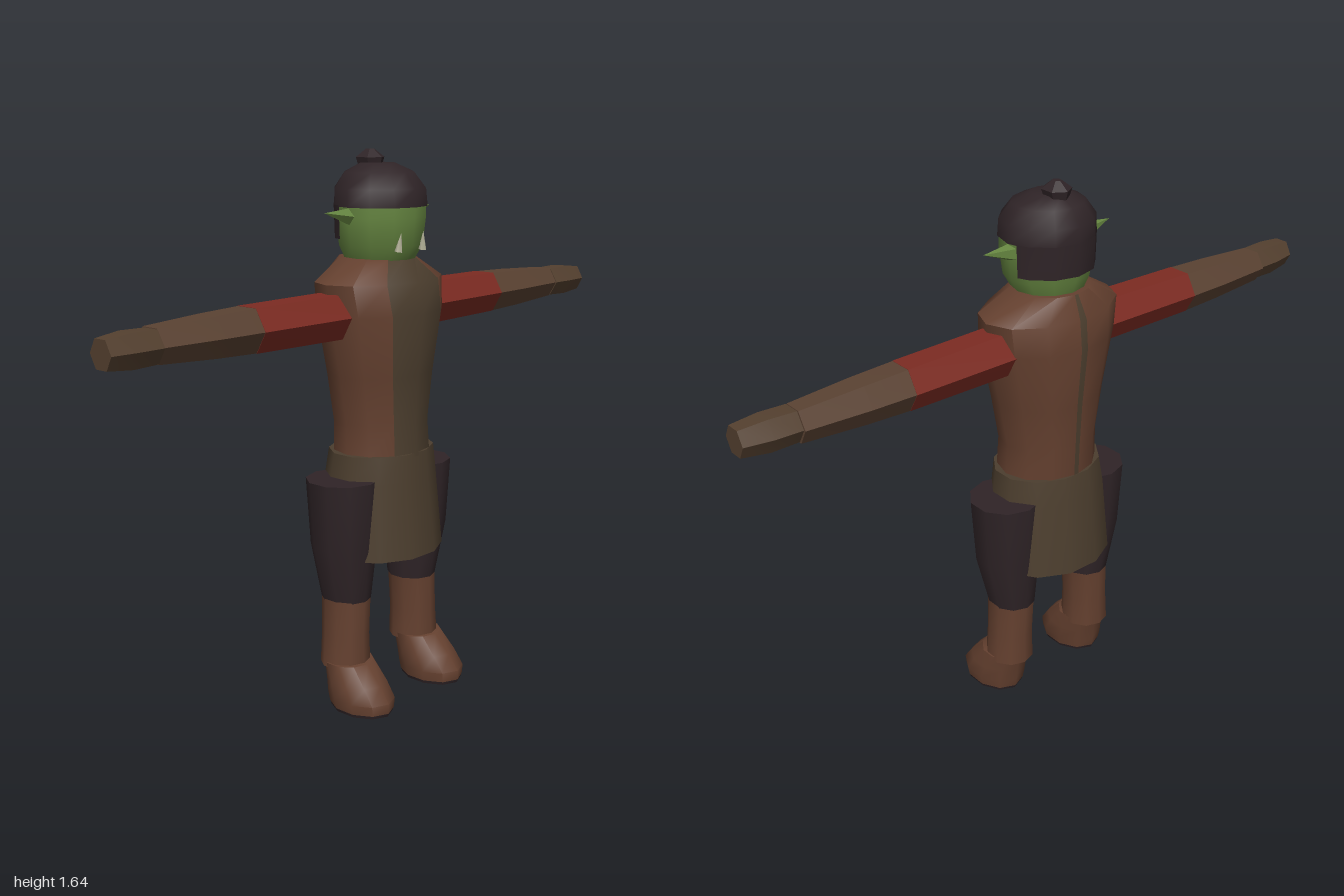
import * as THREE from 'three';
import { toCreasedNormals } from 'three/addons/utils/BufferGeometryUtils.js';

const mat = (name, color) => {
  const m = new THREE.MeshStandardMaterial({ color, side: THREE.DoubleSide });
  m.name = name;
  return m;
};

// Evenly spaced angles in degrees; 0 faces +z, 90 faces +x
const around = (n, offset = 0) => Array.from({ length: n }, (_, i) => offset + (i * 360) / n);

// Skin over elliptical rings [y, centreX, centreZ, radiusX, radiusZ], listed upward
function loft(rings, angles, { open = false, bottom = true, top = true, crease = 0.9, pick = () => 0 } = {}) {
  const pos = [], n = angles.length, lists = [[], []];
  for (const [y, cx, cz, rx, rz] of rings) {
    for (const d of angles) {
      const a = THREE.MathUtils.degToRad(d);
      pos.push(cx + rx * Math.sin(a), y, cz + rz * Math.cos(a));
    }
  }
  for (let j = 0; j < (open ? n - 1 : n); j++) {
    const k = (j + 1) % n, list = lists[pick(j)];
    for (let i = 0; i < rings.length - 1; i++) {
      const a = i * n, b = a + n;
      list.push(a + j, a + k, b + k, a + j, b + k, b + j);
    }
  }
  const cap = (ring, base, up) => {
    const c = pos.length / 3;
    pos.push(ring[1], ring[0], ring[2]);
    for (let j = 0; j < n; j++) {
      const k = (j + 1) % n;
      lists[0].push(c, base + (up ? j : k), base + (up ? k : j));
    }
  };
  if (!open && bottom) cap(rings[0], 0, false);
  if (!open && top) cap(rings.at(-1), (rings.length - 1) * n, true);
  const g = new THREE.BufferGeometry();
  g.setAttribute('position', new THREE.Float32BufferAttribute(pos, 3));
  g.setIndex([...lists[0], ...lists[1]]);
  if (lists[1].length) {
    g.addGroup(0, lists[0].length, 0);
    g.addGroup(lists[0].length, lists[1].length, 1);
  }
  return toCreasedNormals(g, crease);
}

export function createModel() {
  const root = new THREE.Group();
  root.name = 'figure';
  const leather = mat('leather brown', 0x64402f);
  const apron = mat('apron olive', 0x4c3e2e);
  const dark = mat('dark cloth', 0x2f2427);
  const green = mat('green skin', 0x658540);
  const red = mat('red sleeve', 0x7c2b22);
  const wrap = mat('forearm wrap', 0x5a4232);
  const glove = mat('glove', 0x54402f);
  const ivory = mat('ivory', 0xb5b39a);

  const add = (name, geometry, material, parent = root) => {
    const m = new THREE.Mesh(geometry, material);
    m.name = name;
    parent.add(m);
    return m;
  };

  // Torso with a wide front panel and a narrow seam down the back
  const torsoAngles = [0, 30, 60, 90, 120, 150, 177, 183, 210, 240, 270, 300, 330];
  add('torso', loft([
    [0.76, 0, 0.005, 0.155, 0.138],
    [0.86, 0, 0, 0.15, 0.137],
    [1.0, 0, 0, 0.175, 0.145],
    [1.18, 0, 0, 0.212, 0.163],
    [1.27, 0, -0.005, 0.223, 0.15],
    [1.335, 0, -0.015, 0.115, 0.11],
  ], torsoAngles, { pick: j => (j === 0 || j === 12 || j === 6 ? 1 : 0) }), [leather, apron]);

  // Flaring apron skirt, open below
  add('skirt', loft([
    [0.46, 0, 0, 0.2, 0.176],
    [0.69, 0, 0, 0.185, 0.15],
    [0.77, 0, 0.003, 0.172, 0.142],
  ], around(12, 15), { bottom: false }), apron);

  // Head, cap of hair and topknot
  add('head', loft([
    [1.32, 0, -0.005, 0.1, 0.098],
    [1.37, 0, 0, 0.127, 0.122],
    [1.45, 0, 0, 0.138, 0.13],
    [1.5, 0, 0, 0.136, 0.13],
  ], around(12)), green);
  add('hair', loft([
    [1.48, 0, 0, 0.14, 0.136],
    [1.53, 0, -0.002, 0.138, 0.132],
    [1.575, 0, -0.005, 0.105, 0.1],
    [1.6, 0, -0.01, 0.05, 0.05],
  ], around(12)), dark);
  add('backHair', loft([
    [1.39, 0, 0, 0.139, 0.134],
    [1.485, 0, 0, 0.142, 0.137],
  ], [105, 120, 150, 180, 210, 240, 255], { open: true }), dark);
  add('topknot', loft([
    [1.58, 0, -0.04, 0.03, 0.035],
    [1.615, 0, -0.04, 0.042, 0.045],
    [1.638, 0, -0.04, 0.012, 0.014],
  ], around(6), { crease: 0.3 }), dark);

  for (const s of [1, -1]) {
    const side = s > 0 ? 'left' : 'right';

    // Pointed ear and tusk
    const ear = add(side + 'Ear', new THREE.ConeGeometry(0.03, 0.115, 5).toNonIndexed(), green);
    ear.geometry.computeVertexNormals();
    ear.position.set(s * 0.17, 1.461, -0.005);
    ear.rotation.z = -s * 1.42;
    const tusk = add(side + 'Tusk', new THREE.ConeGeometry(0.012, 0.055, 5), ivory);
    tusk.position.set(s * 0.05, 1.385, 0.118);
    tusk.rotation.set(0.12, 0, s * 0.08);

    // Six-sided arm, lofted upward and then laid along x
    const arm = new THREE.Group();
    arm.name = side + 'Arm';
    arm.position.y = 1.18;
    root.add(arm);
    const section = (name, rings, material) => {
      const g = loft(rings.map(([x, z, ry, rz]) => [x, 0, z, ry, rz]), around(6), { crease: 0.5 });
      add(name, g.rotateZ((-s * Math.PI) / 2), material, arm);
    };
    section('sleeve', [[0.15, -0.01, 0.074, 0.074], [0.515, -0.015, 0.07, 0.072]], red);
    section('forearm', [[0.515, -0.015, 0.069, 0.071], [0.65, -0.015, 0.064, 0.068], [0.84, -0.015, 0.053, 0.055]], wrap);
    section('hand', [[0.84, -0.01, 0.05, 0.053], [0.92, -0.008, 0.053, 0.052], [1, -0.003, 0.044, 0.042]], glove);

    // Trouser leg, shin and boot
    const leg = new THREE.Group();
    leg.name = side + 'Leg';
    root.add(leg);
    add('thigh', loft([
      [0.33, s * 0.149, -0.005, 0.07, 0.077],
      [0.5, s * 0.16, -0.003, 0.1, 0.098],
      [0.7, s * 0.162, -0.003, 0.11, 0.11],
    ], around(10)), dark, leg);
    add('shin', loft([
      [0.125, s * 0.157, -0.002, 0.073, 0.077],
      [0.22, s * 0.155, -0.003, 0.069, 0.073],
      [0.335, s * 0.15, -0.004, 0.07, 0.075],
    ], around(10)), leather, leg);
    add('boot', loft([
      [0.01, s * 0.163, 0.07, 0.08, 0.107],
      [0.04, s * 0.163, 0.068, 0.086, 0.11],
      [0.085, s * 0.161, 0.048, 0.084, 0.095],
      [0.14, s * 0.159, 0.015, 0.075, 0.074],
    ], around(10)), leather, leg);
    add('sole', loft([
      [0, s * 0.163, 0.07, 0.076, 0.103],
      [0.012, s * 0.163, 0.07, 0.08, 0.107],
    ], around(10)), dark, leg);
  }
  return root;
}
